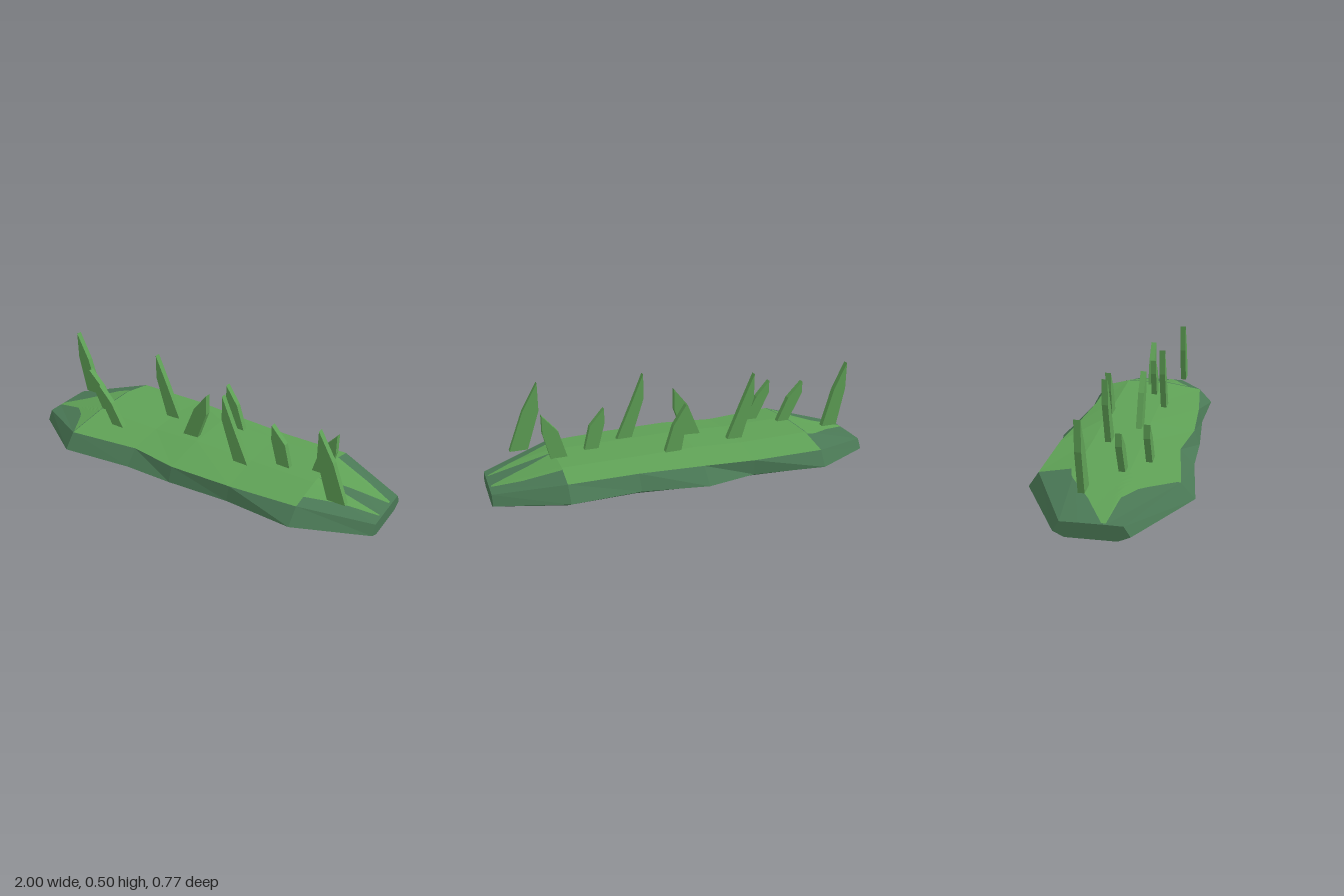
import * as THREE from 'three';

const grass = new THREE.MeshStandardMaterial({ color: 0x5fa156, flatShading: true, side: THREE.DoubleSide });
grass.name = 'grass green';
const moss = new THREE.MeshStandardMaterial({ color: 0x4a7855, flatShading: true, side: THREE.DoubleSide });
moss.name = 'dark moss';

// Cross-sections along x: outline, upper edge and ridge, back (-z) to front (+z)
const stations = [
  { x: -0.66, mid: [-0.385, 0.385], up: [-0.335, 0.32], ridge: 0.163 },
  { x: -0.28, mid: [-0.34, 0.34], up: [-0.335, 0.27], ridge: 0.158 },
  { x: -0.02, mid: [-0.39, 0.34], up: [-0.31, 0.31], ridge: 0.17 },
  { x: 0.31, mid: [-0.33, 0.32], up: [-0.285, 0.3], ridge: 0.165 },
  { x: 0.66, mid: [-0.345, 0.34], up: [-0.285, 0.27], ridge: 0.163 },
];
const endRing = (x) => [
  [x, 0, -0.13], [x, 0.025, -0.18], [x, 0.072, -0.15], [x, 0.073, -0.07],
  [x, 0.073, 0.05], [x, 0.072, 0.125], [x, 0.025, 0.155], [x, 0, 0.1],
];
const midRing = ({ x, mid, up, ridge }) => [
  [x, 0, mid[0] * 0.7], [x, 0.055, mid[0]], [x, 0.13, up[0]], [x, ridge, -0.16],
  [x, ridge - 0.004, 0.085], [x, 0.13, up[1]], [x, 0.055, mid[1]], [x, 0, mid[1] * 0.64],
];
const rings = [endRing(-1), ...stations.map(midRing), endRing(1)];

function meshFrom(tris, material, name) {
  const g = new THREE.BufferGeometry();
  g.setAttribute('position', new THREE.Float32BufferAttribute(tris.flat(), 3));
  g.computeVertexNormals();
  const mesh = new THREE.Mesh(g, material);
  mesh.name = name;
  return mesh;
}
const quad = (list, a, b, c, d) => list.push(a, b, c, a, c, d);

// Piecewise linear lookup along x
function along(points, x) {
  for (let i = 1; i < points.length; i++) {
    const [x0, z0] = points[i - 1], [x1, z1] = points[i];
    if (x <= x1 || i === points.length - 1) return z0 + (z1 - z0) * (x - x0) / (x1 - x0);
  }
}

// Thin grass tongue laid on the sloping end of the mound
function tongue(ground, lo, hi) {
  const n = 14, tris = [], ray = new THREE.Raycaster();
  const down = new THREE.Vector3(0, -1, 0);
  const x0 = lo[0][0], x1 = lo[lo.length - 1][0];
  const point = (i, j) => {
    const x = x0 + (x1 - x0) * i / n;
    const z = THREE.MathUtils.lerp(along(lo, x), along(hi, x), j / n);
    ray.set(new THREE.Vector3(x, 1, z), down);
    const hit = ray.intersectObject(ground)[0];
    return [x, (hit ? hit.point.y : 0.1) + 0.003, z];
  };
  for (let i = 0; i < n; i++)
    for (let j = 0; j < n; j++)
      quad(tris, point(i, j), point(i, j + 1), point(i + 1, j + 1), point(i + 1, j));
  return meshFrom(tris, grass, 'grassTongue');
}

// Bent pointed blade: tip x, outer base x, z, height, inner base and bend fractions
function blade(tip, base, z, h, inner, bend, bendH, shoulder) {
  const y0 = 0.152, H = h - y0, W = base - tip;
  const profile = [[0, 1], [0, shoulder], [inner, 0], [1, 0], [bend, bendH]];
  const shape = new THREE.Shape(profile.map(([u, v]) => new THREE.Vector2(tip + u * W, y0 + v * H)));
  const g = new THREE.ExtrudeGeometry(shape, { depth: 0.03, bevelEnabled: false });
  g.translate(0, 0, z - 0.015);
  const mesh = new THREE.Mesh(g, grass);
  mesh.name = 'grassBlade';
  return mesh;
}

export function createModel() {
  const group = new THREE.Group();
  group.name = 'grassyMound';

  // Mound body and its grassy top
  const body = [], top = [];
  for (let i = 0; i < rings.length - 1; i++)
    for (let j = 0; j < 8; j++) {
      const k = (j + 1) % 8;
      const isTop = i > 0 && i < rings.length - 2 && j >= 2 && j <= 4;
      quad(isTop ? top : body, rings[i][j], rings[i][k], rings[i + 1][k], rings[i + 1][j]);
    }
  const first = rings[0], last = rings[rings.length - 1];
  for (let j = 1; j < 7; j++) {
    body.push(last[0], last[j], last[j + 1]);
    body.push(first[0], first[j + 1], first[j]);
  }
  const mound = meshFrom(body, moss, 'mound');
  group.add(mound, meshFrom(top, grass, 'grassTop'));

  // Grass running out over both ends
  group.add(
    tongue(mound, [[-0.995, 0.03], [-0.85, -0.06], [-0.72, -0.165], [-0.661, -0.18]],
      [[-0.995, 0.05], [-0.83, 0.08], [-0.75, 0.15], [-0.661, 0.31]]),
    tongue(mound, [[0.661, -0.18], [0.85, -0.13], [0.99, -0.075]],
      [[0.661, 0.04], [0.8, -0.01], [0.99, -0.06]]),
    tongue(mound, [[0.661, 0.04], [0.8, 0.045], [0.99, 0.052]],
      [[0.661, 0.2], [0.8, 0.13], [0.99, 0.06]]),
  );

  // Blades
  const blades = [
    [-0.927, -0.8, -0.08, 0.5, 0.33, 0.54, 0.58, 0.59],
    [-0.737, -0.59, 0.053, 0.375, 0.55, 0.56, 0.62, 0.72],
    [-0.585, -0.44, 0.153, 0.365, 0.5, 0.52, 0.6, 0.68],
    [-0.38, -0.232, -0.083, 0.5, 0.44, 0.45, 0.56, 0.63],
    [0.018, -0.13, 0.036, 0.425, 0.4, 0.5, 0.66, 0.6],
    [0.022, 0.137, -0.152, 0.405, 0.25, 0.58, 0.6, 0.6],
    [0.16, 0.312, 0.113, 0.5, 0.47, 0.43, 0.56, 0.62],
    [0.395, 0.505, 0.03, 0.37, 0.35, 0.7, 0.6, 0.65],
    [0.72, 0.6, -0.018, 0.39, 0.3, 0.65, 0.62, 0.6],
    [0.702, 0.862, 0.158, 0.5, 0.42, 0.52, 0.58, 0.58],
  ];
  for (const b of blades) group.add(blade(...b));
  return group;
}
